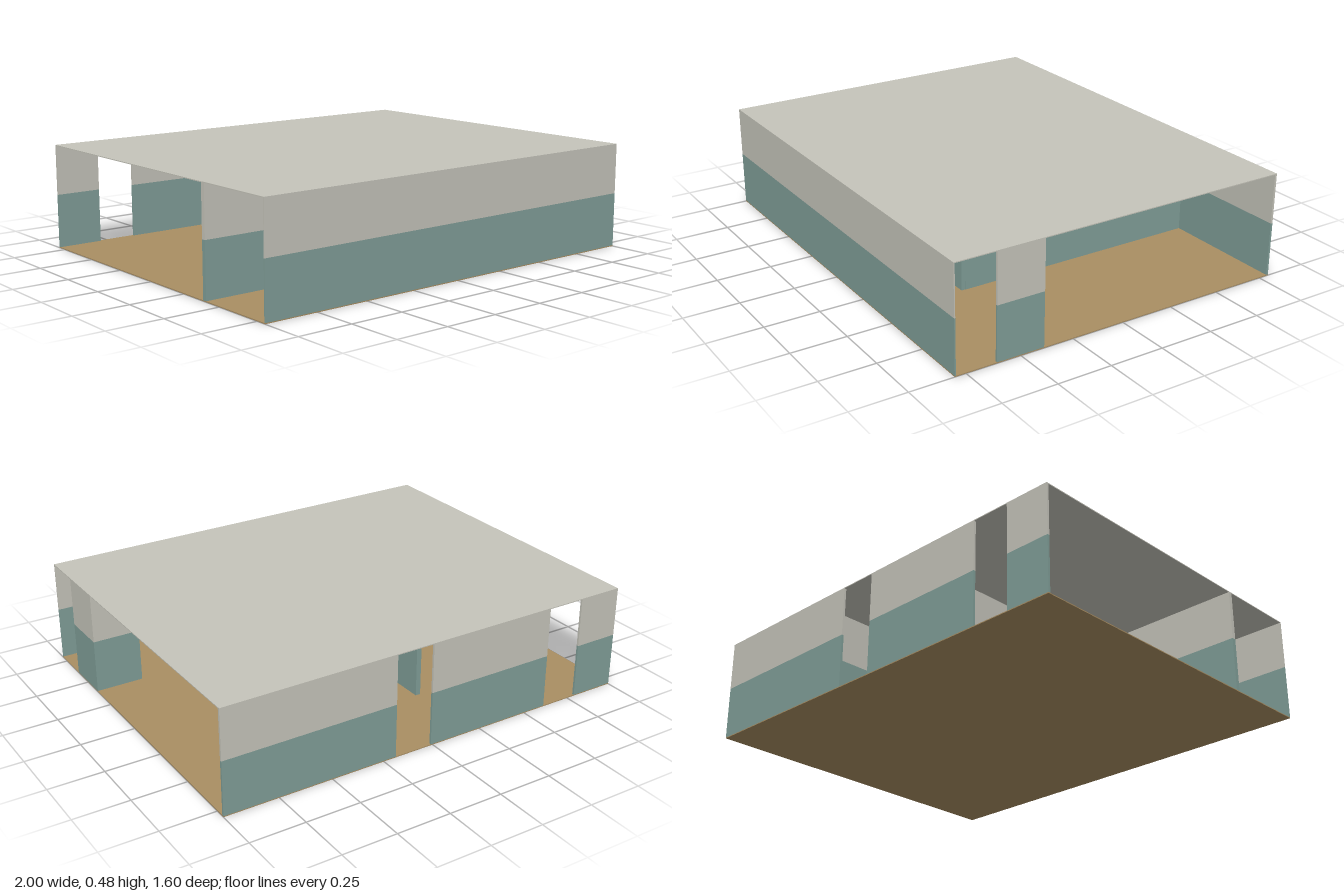
import * as THREE from 'three';

export function createModel() {
  const model = new THREE.Group();
  model.name = 'building';

  const paint = (name, color) => {
    const m = new THREE.MeshStandardMaterial({ color });
    m.name = name;
    return m;
  };
  const grey = paint('warm grey', 0xc5c4ba);
  const teal = paint('muted teal', 0x809e98);
  const tan = paint('tan floor', 0xa98e62);

  const SLAB = 0.004, BAND = 0.25, TOP = 0.48;

  // Box given by its limits on each axis
  function block(name, material, x0, x1, y0, y1, z0, z1, parent = model) {
    const mesh = new THREE.Mesh(new THREE.BoxGeometry(x1 - x0, y1 - y0, z1 - z0), material);
    mesh.position.set((x0 + x1) / 2, (y0 + y1) / 2, (z0 + z1) / 2);
    mesh.name = name;
    parent.add(mesh);
  }

  // Full-height wall: teal below, grey above
  function wall(name, x0, x1, z0, z1) {
    const group = new THREE.Group();
    group.name = name;
    block('lowerWall', teal, x0, x1, SLAB, BAND, z0, z1, group);
    block('upperWall', grey, x0, x1, BAND, TOP - SLAB, z0, z1, group);
    model.add(group);
  }

  block('floor', tan, -1, 1, 0, SLAB, -0.8, 0.8);
  block('roof', grey, -1, 1, TOP - SLAB, TOP, -0.8, 0.8);

  // Front wall, in two lengths either side of the cross wall
  for (const [a, b] of [[-1, -0.012], [0.012, 1]]) wall('frontWall', a, b, 0.795, 0.8);

  // Back wall, with two doorways
  const backRuns = [[-1, -0.79], [-0.61, -0.212], [-0.188, 0.01], [0.19, 0.388], [0.412, 1]];
  for (const [a, b] of backRuns) wall('backWall', a, b, -0.8, -0.79);

  // Corridor wall, open into the right-hand room
  for (const [a, b] of [[-1, 0.41], [0.78, 1]]) wall('corridorWall', a, b, 0.39, 0.41);

  // Cross wall in the corridor
  wall('corridorCrossWall', -0.012, 0.012, 0.41, 0.8);

  // Room partitions, one with a doorway
  wall('roomPartition', 0.388, 0.412, -0.8, 0.39);
  for (const [a, b] of [[-0.8, -0.61], [-0.42, 0.39]]) wall('roomPartitionWithDoorway', -0.212, -0.188, a, b);

  // Narrow wall beside the corridor entrance
  wall('entranceWall', 0.99, 1, 0.41, 0.61);

  return model;
}
